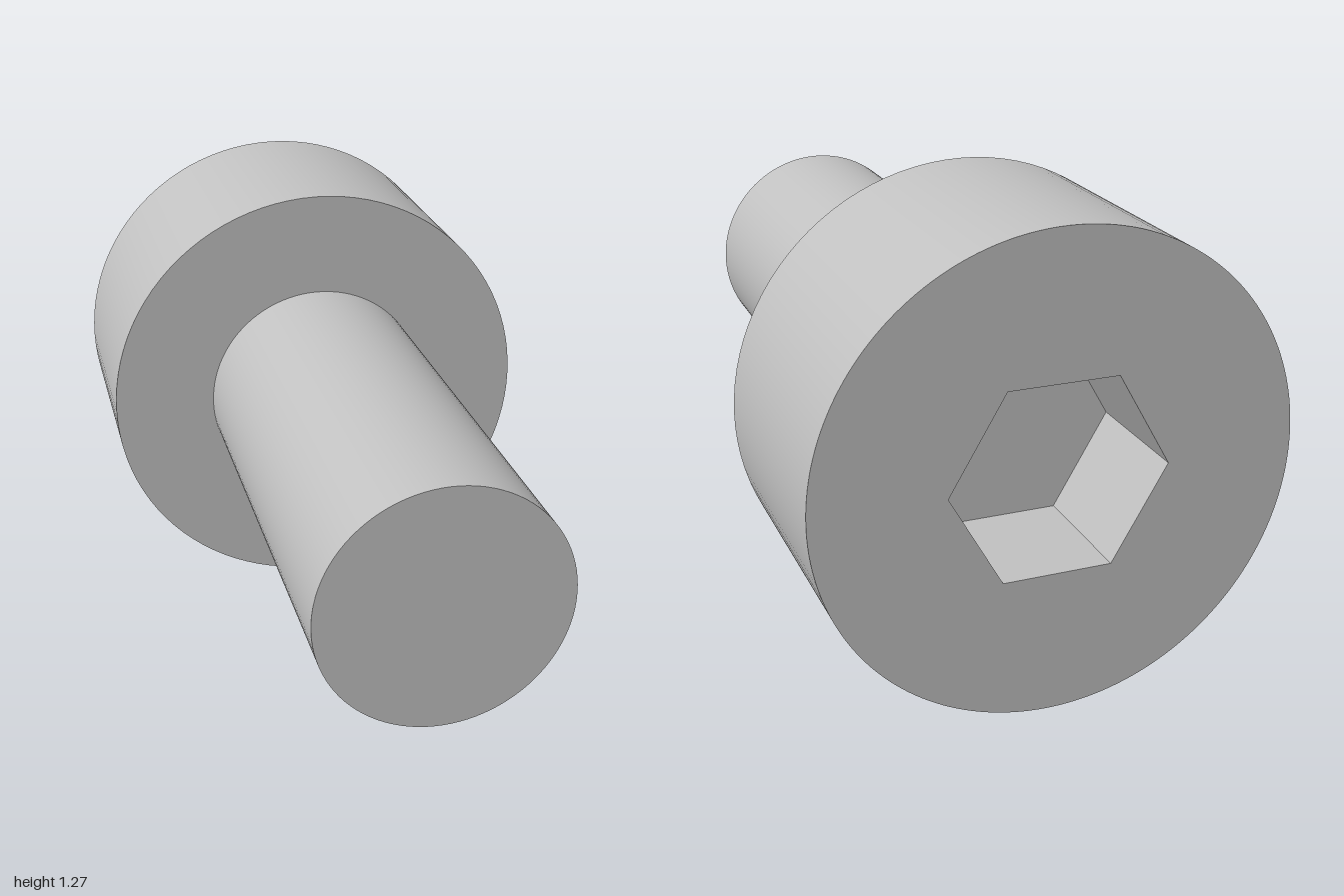
import * as THREE from 'three';

const HEAD_R = 0.633, SHAFT_R = 0.333, HEX_R = 0.289;
const BACK = -1, SHOULDER = -0.333, TIP = 1, SOCKET_DEPTH = 0.333;
const SEGMENTS = 96;

// Open tube wall lying along z between two positions
function tubeWall(radius, z0, z1, sides = SEGMENTS, start = 0) {
  return new THREE.CylinderGeometry(radius, radius, z1 - z0, sides, 1, true, start)
    .rotateX(Math.PI / 2)
    .translate(0, 0, (z0 + z1) / 2);
}

export function createModel() {
  const steel = new THREE.MeshStandardMaterial({ color: 0xc0c0c0 });
  steel.name = 'steel grey';
  const bolt = new THREE.Group();
  bolt.name = 'socketHeadBolt';

  const add = (name, geometry) => {
    const mesh = new THREE.Mesh(geometry, steel);
    mesh.name = name;
    bolt.add(mesh);
  };

  // Shaft
  add('shaft', tubeWall(SHAFT_R, SHOULDER, TIP));
  add('shaftEnd', new THREE.CircleGeometry(SHAFT_R, SEGMENTS).translate(0, 0, TIP));

  // Head with its shoulder
  add('head', tubeWall(HEAD_R, BACK, SHOULDER));
  add('headShoulder', new THREE.RingGeometry(SHAFT_R, HEAD_R, SEGMENTS).translate(0, 0, SHOULDER));

  // Back face with a hexagonal opening
  const face = new THREE.Shape().absarc(0, 0, HEAD_R, 0, Math.PI * 2);
  const hexagon = [];
  for (let i = 0; i < 6; i++) {
    const a = -i * Math.PI / 3;
    hexagon.push(new THREE.Vector2(HEX_R * Math.cos(a), HEX_R * Math.sin(a)));
  }
  face.holes.push(new THREE.Path(hexagon));
  add('headFace', new THREE.ShapeGeometry(face, SEGMENTS).rotateY(Math.PI).translate(0, 0, BACK));

  // Socket walls, mirrored so that they face inward, and the floor
  const walls = tubeWall(HEX_R, -SOCKET_DEPTH / 2, SOCKET_DEPTH / 2, 6, Math.PI / 6)
    .scale(1, 1, -1)
    .translate(0, 0, BACK + SOCKET_DEPTH / 2)
    .toNonIndexed();
  walls.computeVertexNormals();
  add('socketWalls', walls);
  add('socketFloor', new THREE.CircleGeometry(HEX_R, 6).rotateY(Math.PI).translate(0, 0, BACK + SOCKET_DEPTH));

  bolt.position.y = HEAD_R;
  return bolt;
}
